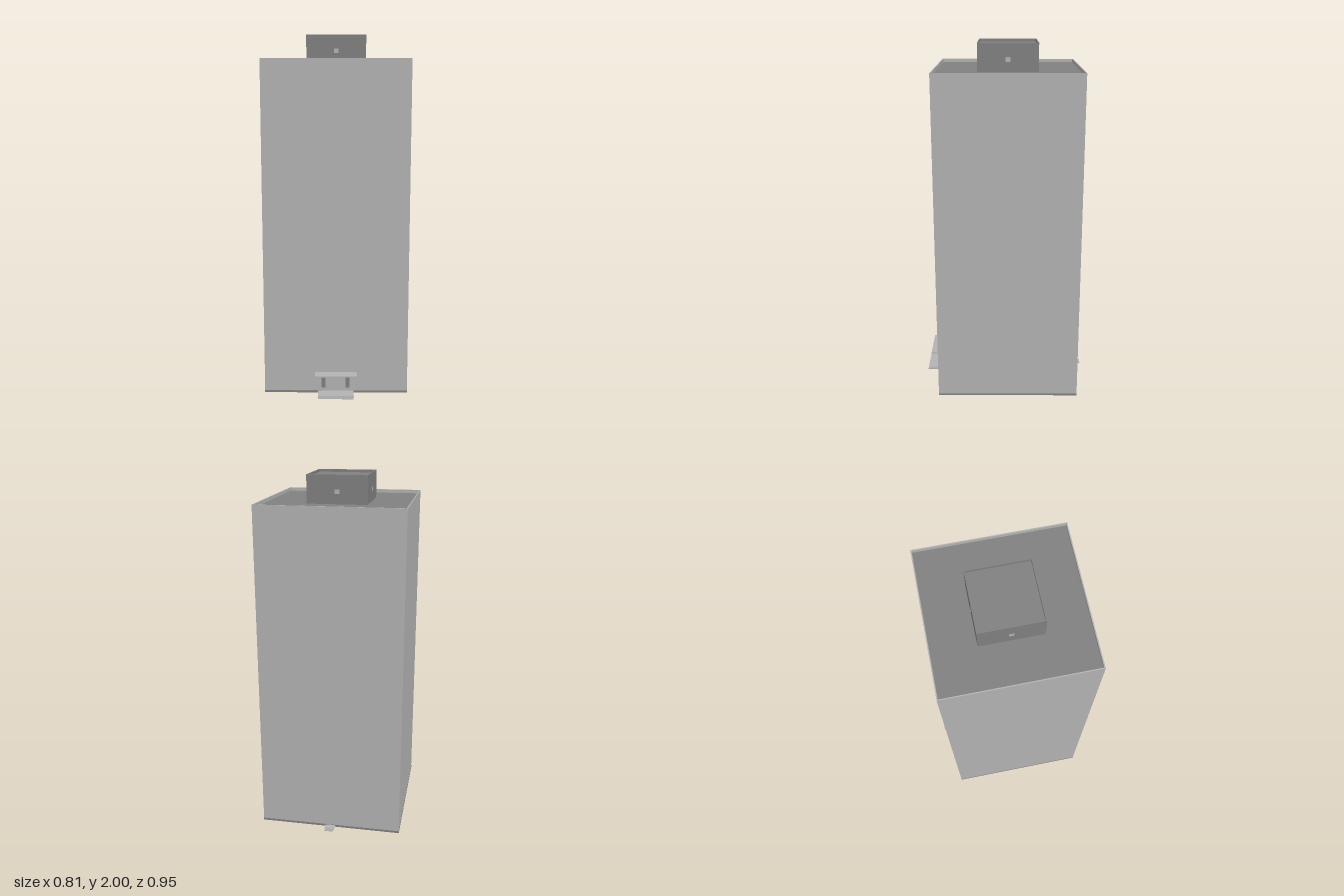
import * as THREE from 'three';

const wallGrey = new THREE.MeshStandardMaterial({ name: 'wall grey', color: 0xb2b2b2 });
const roofGrey = new THREE.MeshStandardMaterial({ name: 'roof grey', color: 0x808080 });

const CENTRE_Z = -0.021;

// Box placed by its lower and upper limits on each axis
function box(name, material, [x0, x1], [y0, y1], [z0, z1]) {
  const mesh = new THREE.Mesh(new THREE.BoxGeometry(x1 - x0, y1 - y0, z1 - z0), material);
  mesh.position.set((x0 + x1) / 2, (y0 + y1) / 2, (z0 + z1) / 2);
  mesh.name = name;
  return mesh;
}

// Square tube of four thin walls, open above and below
function squareTube(name, material, half, thickness, y0, y1) {
  const square = (shape, r) =>
    shape.moveTo(-r, -r).lineTo(r, -r).lineTo(r, r).lineTo(-r, r).closePath();
  const shape = square(new THREE.Shape(), half);
  shape.holes.push(square(new THREE.Path(), half - thickness));
  const geometry = new THREE.ExtrudeGeometry(shape, { depth: y1 - y0, bevelEnabled: false });
  geometry.rotateX(-Math.PI / 2);
  const mesh = new THREE.Mesh(geometry, material);
  mesh.position.set(0, y0, CENTRE_Z);
  mesh.name = name;
  return mesh;
}

// Thin level slab filling a square tube
function roofSlab(name, half, top) {
  return box(name, roofGrey, [-half, half], [top - 0.006, top],
    [CENTRE_Z - half, CENTRE_Z + half]);
}

export function createModel() {
  const building = new THREE.Group();
  building.name = 'towerBuilding';

  // Hollow tower with a low parapet around the sunken roof
  building.add(squareTube('towerWalls', wallGrey, 0.403, 0.006, 0, 1.865));
  building.add(roofSlab('towerRoof', 0.398, 1.845));
  building.add(squareTube('baseTrim', roofGrey, 0.404, 0.008, 0, 0.012));

  // Rooftop plant room with its own shallow rim
  building.add(squareTube('plantRoomWalls', roofGrey, 0.167, 0.006, 1.83, 2));
  building.add(roofSlab('plantRoomRoof', 0.162, 1.985));

  // Small vent in each side of the plant room
  for (let i = 0; i < 4; i++) {
    const side = new THREE.Group();
    side.name = 'plantRoomVent';
    side.position.z = CENTRE_Z;
    side.rotation.y = i * Math.PI / 2;
    side.add(box('vent', wallGrey, [-0.013, 0.013], [1.9, 1.924], [0.166, 0.168]));
    building.add(side);
  }

  // Front entrance: canopy, two shallow steps and a pair of door panels
  building.add(box('canopy', wallGrey, [-0.118, 0.117], [0.119, 0.123], [0.374, 0.45]));
  building.add(box('frontLowerStep', wallGrey, [-0.1, 0.098], [0, 0.005], [0.38, 0.474]));
  building.add(box('frontUpperStep', wallGrey, [-0.101, 0.1], [0.005, 0.01], [0.38, 0.462]));
  for (const [x, top] of [[-0.07, 0.088], [0.065, 0.096]]) {
    building.add(box('doorPanel', roofGrey, [x - 0.011, x + 0.011], [0.03, top], [0.375, 0.384]));
  }

  // Back entrance steps
  building.add(box('backLowerStep', wallGrey, [-0.024, 0.023], [0, 0.005], [-0.478, -0.42]));
  building.add(box('backUpperStep', wallGrey, [-0.028, 0.026], [0.005, 0.01], [-0.467, -0.42]));

  return building;
}
